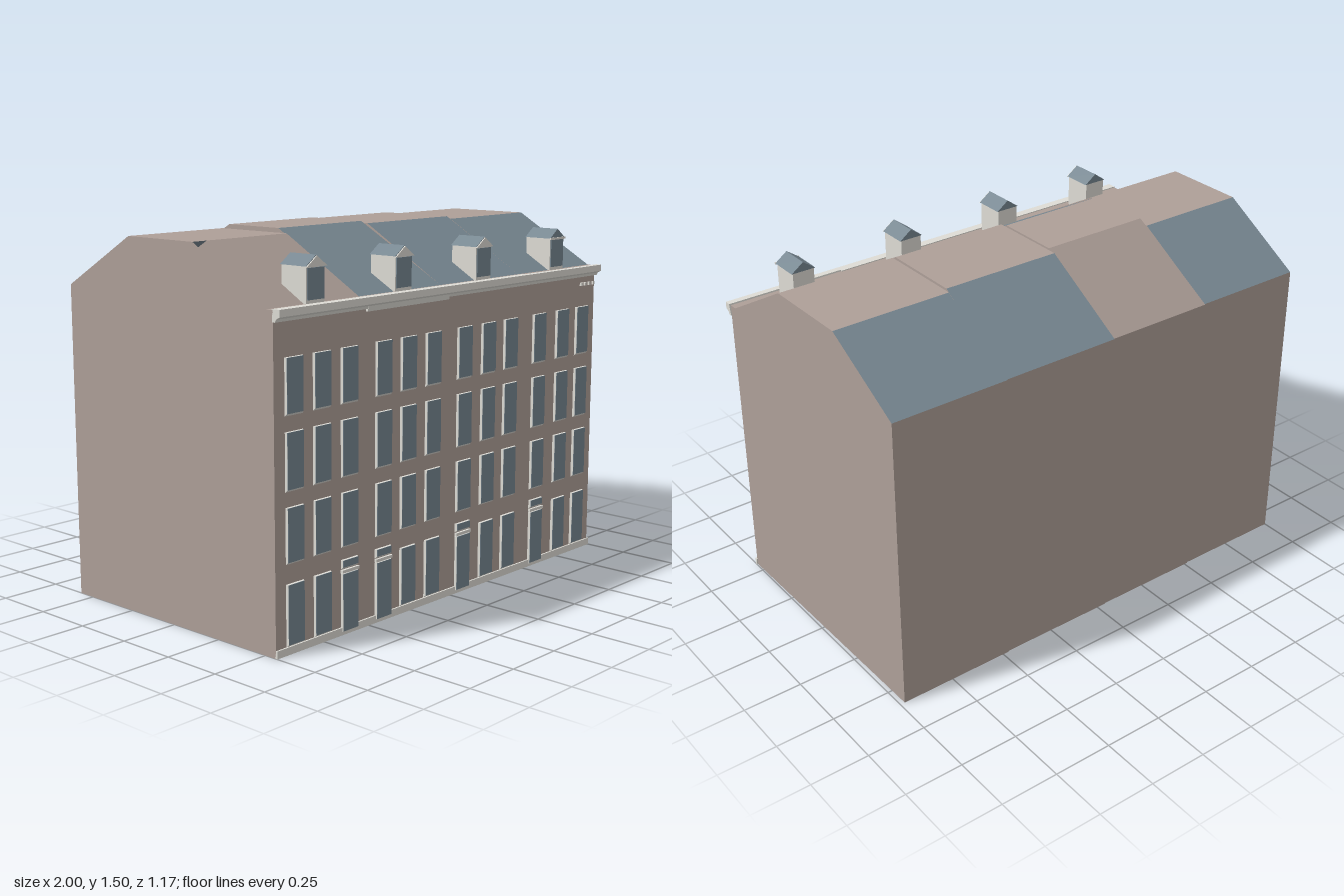
import * as THREE from 'three';

const mat = (name, color, extra = {}) => {
  const m = new THREE.MeshStandardMaterial({ color, ...extra });
  m.name = name;
  return m;
};

export function createModel() {
  const wall = mat('plaster', 0xae9f98, { side: THREE.DoubleSide });
  const slate = mat('slate', 0x778791, { side: THREE.DoubleSide });
  const trim = mat('white trim', 0xdedcd5);
  const model = new THREE.Group();
  model.name = 'terracedHouses';

  const add = (parent, name, geometry, material) => {
    const mesh = new THREE.Mesh(geometry, material);
    mesh.name = name;
    parent.add(mesh);
    return mesh;
  };
  // box given by its limits
  const block = (parent, name, material, x0, x1, y0, y1, z0, z1) =>
    add(parent, name, new THREE.BoxGeometry(x1 - x0, y1 - y0, z1 - z0)
      .translate((x0 + x1) / 2, (y0 + y1) / 2, (z0 + z1) / 2), material);
  // [z, y] profile run along x from x0 to x1
  const alongX = (profile, x0, x1) => new THREE.ExtrudeGeometry(
    new THREE.Shape(profile.map(p => new THREE.Vector2(...p))),
    { depth: x1 - x0, bevelEnabled: false }).rotateY(-Math.PI / 2).translate(x1, 0, 0);
  // [x, y] outline run along z from z0 to z1
  const alongZ = (outline, z0, z1) => new THREE.ExtrudeGeometry(
    new THREE.Shape(outline.map(p => new THREE.Vector2(...p))),
    { depth: z1 - z0, bevelEnabled: false }).translate(0, 0, z0);
  // flat-faced geometry from triangles of points
  const faces = triangles => {
    const g = new THREE.BufferGeometry();
    g.setAttribute('position', new THREE.Float32BufferAttribute(triangles.flat(2), 3));
    g.computeVertexNormals();
    return g;
  };

  const front = 0.555, eave = 1.275;
  // open: the roof slope that is left off, showing the inside
  const houses = [
    { x: [-1, -0.515], xBack: [-1, -0.515], top: 1.487, flat: [0.145, -0.215], back: -0.577, open: 'frontSlope' },
    { x: [-0.515, -0.035], xBack: [-0.515, -0.04], top: 1.505, flat: [0.1, -0.175], back: -0.581, open: 'backSlope' },
    { x: [-0.035, 0.48], xBack: [-0.04, 0.475], top: 1.497, flat: [0.135, -0.21], back: -0.584 },
    { x: [0.48, 0.995], xBack: [0.475, 0.98], top: 1.487, flat: [0.155, -0.225], back: -0.588 },
  ];

  houses.forEach((h, i) => {
    const house = new THREE.Group();
    house.name = 'house' + (i + 1);
    model.add(house);

    // shell: one strip for each edge of the cross-section
    const section = [[front, 0], [front, eave], [0.52, eave], [h.flat[0], h.top],
      [h.flat[1], h.top], [h.back, eave], [h.back, 0]];
    const at = ([z, y], side) => {
      const t = (front - z) / (front - h.back);
      return [h.x[side] + (h.xBack[side] - h.x[side]) * t, y, z];
    };
    const strips = ['frontWall', 'eaveLedge', 'frontSlope', 'flatRoof', 'backSlope', 'backWall', 'floor'];
    strips.forEach((name, k) => {
      if (name === h.open) return;
      const p = section[k], q = section[(k + 1) % section.length];
      const a = at(p, 0), b = at(p, 1), c = at(q, 1), d = at(q, 0);
      add(house, name, faces([[a, b, c], [a, c, d]]), name.endsWith('Slope') ? slate : wall);
    });
    // side walls, fanned from the lower back corner
    for (const side of [0, 1]) {
      const tris = [];
      for (let k = 0; k < 5; k++) {
        const t = [at(section[6], side), at(section[k], side), at(section[k + 1], side)];
        tris.push(side ? t : t.reverse());
      }
      add(house, side ? 'leftGable' : 'rightGable', faces(tris), wall);
    }

    // cornice and plinth
    const x1 = i === 3 ? 1 : h.x[1];
    const low = i === 1 ? 1.222 : 1.232;
    add(house, 'cornice', alongX([[0.55, low], [0.564, low], [0.57, 1.243], [0.587, 1.252],
      [0.587, 1.279], [i === 3 ? 0.56 : 0.55, 1.279]], h.x[0], x1), trim);
    block(house, 'plinth', trim, h.x[0], x1, 0, 0.03, 0.55, 0.562);
  });

  // small brackets under the cornice at the end
  for (let i = 0; i < 4; i++) {
    const x = 0.885 + i * 0.03;
    block(model, 'bracket', trim, x, x + 0.012, 1.192, 1.206, 0.55, 0.563);
  }

  // window: raised pane with a casing splayed to the right and below
  const addWindow = (name, x, y0, y1) => {
    const w = new THREE.Group();
    w.name = name;
    model.add(w);
    const x0 = x - 0.046, xr = x + 0.037, zf = 0.567;
    const casing = new THREE.BoxGeometry(1, 1, 1);
    const p = casing.attributes.position;
    for (let k = 0; k < p.count; k++) {
      const isFront = p.getZ(k) > 0;
      p.setXYZ(k,
        p.getX(k) < 0 ? x0 : isFront ? xr : xr + 0.012,
        p.getY(k) > 0 ? y1 : isFront ? y0 : y0 - 0.012,
        isFront ? zf : 0.553);
    }
    add(w, 'casing', casing.toNonIndexed(), trim).geometry.computeVertexNormals();
    block(w, 'pane', slate, x0, xr, y0, y1, zf, zf + 0.002);
  };

  const columns = [-0.9, -0.755, -0.607, -0.415, -0.27, -0.12, 0.077, 0.233, 0.383, 0.585, 0.753, 0.9];
  const doors = [2, 3, 6, 9];
  columns.forEach((x, i) => {
    for (const [y0, y1] of [[0.9, 1.102], [0.622, 0.832], [0.352, 0.555]])
      addWindow('window', x, y0, y1);
    if (doors.includes(i)) {
      addWindow('door', x, 0.017, 0.242);
      block(model, 'doorHead', trim, x - 0.047, x + 0.047, 0.244, 0.256, 0.55, 0.566);
      addWindow('transom', x, 0.268, 0.295);
    } else addWindow('window', x, 0.04, 0.268);
  });

  // dormers
  [-0.757, -0.27, 0.228, 0.74].forEach((x, i) => {
    const d = new THREE.Group();
    d.name = 'dormer' + (i + 1);
    model.add(d);
    add(d, 'dormerBody', alongX([[0.528, 1.275], [0.528, 1.412], [0.405, 1.412], [0.405, 1.338],
      [0.515, 1.275]], x - 0.048, x + 0.048), trim);
    block(d, 'dormerPane', slate, x - 0.044, x + 0.044, 1.288, 1.404, 0.528, 0.532);
    const gable = [[x - 0.054, 1.41], [x + 0.054, 1.41], [x, 1.449]];
    add(d, 'dormerRoof', alongZ(gable, 0.403, 0.532), slate);
    if (i < 3) add(d, 'pediment', alongZ(gable.map(([a, b]) => [a, b - 0.003]), 0.532, 0.537), trim);
    else block(d, 'lintel', trim, x - 0.054, x + 0.054, 1.404, 1.413, 0.532, 0.537);
  });

  return model;
}
